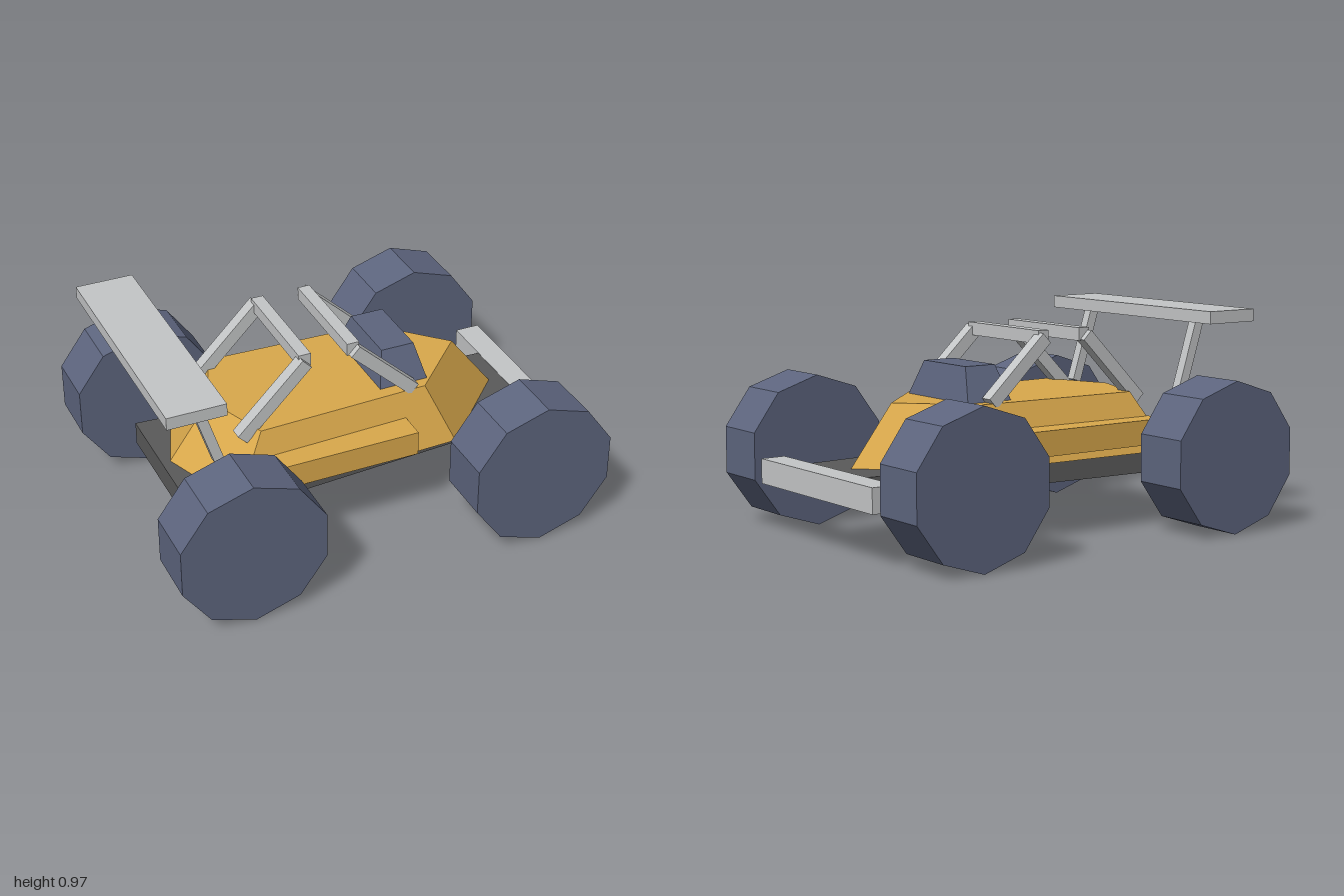
import * as THREE from 'three';

export function createModel() {
  const model = new THREE.Group();
  model.name = 'buggy';

  const paint = (name, color) => {
    const m = new THREE.MeshStandardMaterial({ color });
    m.name = name;
    m.flatShading = true;
    return m;
  };
  const yellow = paint('bodyYellow', 0xdaa94c);
  const slate = paint('slateBlue', 0x5d657e);
  const silver = paint('lightGrey', 0xc4c6c7);
  const dark = paint('darkGrey', 0x5a5a5a);

  const add = (name, geometry, material, x = 0, y = 0, z = 0) => {
    const mesh = new THREE.Mesh(geometry, material);
    mesh.name = name;
    mesh.position.set(x, y, z);
    model.add(mesh);
    return mesh;
  };

  // Box given by its limits
  const block = (name, material, [x0, x1], [y0, y1], [z0, z1]) =>
    add(name, new THREE.BoxGeometry(x1 - x0, y1 - y0, z1 - z0), material,
      (x0 + x1) / 2, (y0 + y1) / 2, (z0 + z1) / 2);

  // Square bar between two points in the xy plane at depth z
  const bar = (name, [x0, y0], [x1, y1], z, width) => {
    const mesh = add(name, new THREE.BoxGeometry(width, Math.hypot(x1 - x0, y1 - y0), width),
      silver, (x0 + x1) / 2, (y0 + y1) / 2, z);
    mesh.rotation.z = Math.atan2(x0 - x1, y1 - y0);
  };

  // Upright prism over a plan outline of [x, z] points; top is a second outline
  const prism = (name, material, bottom, top, y0, y1) => {
    const n = bottom.length;
    const pos = [];
    const put = (p, y) => pos.push(p[0], y, p[1]);
    for (let i = 0; i < n; i++) {
      const j = (i + 1) % n;
      put(bottom[i], y0); put(bottom[j], y0); put(top[j], y1);
      put(bottom[i], y0); put(top[j], y1); put(top[i], y1);
      if (i > 0 && i < n - 1) {
        put(top[0], y1); put(top[i], y1); put(top[j], y1);
        put(bottom[0], y0); put(bottom[j], y0); put(bottom[i], y0);
      }
    }
    const g = new THREE.BufferGeometry();
    g.setAttribute('position', new THREE.Float32BufferAttribute(pos, 3));
    g.computeVertexNormals();
    return add(name, g, material);
  };

  // Tapered floor pan and front bumper
  const floor = [[-0.8, 0.34], [0.9, 0.225], [0.9, -0.225], [-0.8, -0.34]];
  prism('chassis', dark, floor, floor, 0.23, 0.338);
  block('frontBumper', silver, [0.885, 1], [0.23, 0.34], [-0.45, 0.45]);

  // Faceted body, narrowing to three quarters at the top
  const outline = [[-0.76, 0], [-0.605, 0.412], [0.45, 0.375], [0.82, 0], [0.45, -0.375], [-0.605, -0.412]];
  prism('body', yellow, outline, outline.map(([x, z]) => [x * 0.75, z * 0.75]), 0.338, 0.603);

  // Cockpit block
  const rect = (x0, x1, z) => [[x0, z], [x1, z], [x1, -z], [x0, -z]];
  prism('cockpit', slate, rect(0.145, 0.375, 0.23), rect(0.183, 0.338, 0.158), 0.598, 0.755);

  // Cross bars of the two roll bars
  for (const [name, x] of [['rearCrossBar', -0.228], ['frontCrossBar', -0.003]]) {
    block(name, silver, [x - 0.028, x + 0.028], [0.842, 0.9], [-0.262, 0.262]);
  }

  // Rear wing
  block('rearWing', silver, [-0.96, -0.7], [0.91, 0.966], [-0.565, 0.565]);

  // Mirrored parts
  for (const [side, s] of [['near', 1], ['far', -1]]) {
    block(side + 'SidePod', yellow, [-0.53, 0.225], [0.38, 0.492], s > 0 ? [0.25, 0.452] : [-0.452, -0.25]);
    bar(side + 'RearRollBar', [-0.53, 0.565], [-0.228, 0.868], s * 0.26, 0.058);
    bar(side + 'FrontRollBar', [0.283, 0.602], [-0.003, 0.868], s * 0.26, 0.058);
    bar(side + 'WingStrut', [-0.678, 0.572], [-0.79, 0.925], s * 0.377, 0.045);

    // Ten-sided wheels
    for (const [end, x] of [['Front', 0.677], ['Rear', -0.677]]) {
      const wheel = add(side + end + 'Wheel', new THREE.CylinderGeometry(0.34, 0.34, 0.262, 10),
        slate, x, 0.34, s * 0.64);
      wheel.rotation.x = Math.PI / 2;
    }
  }

  return model;
}
